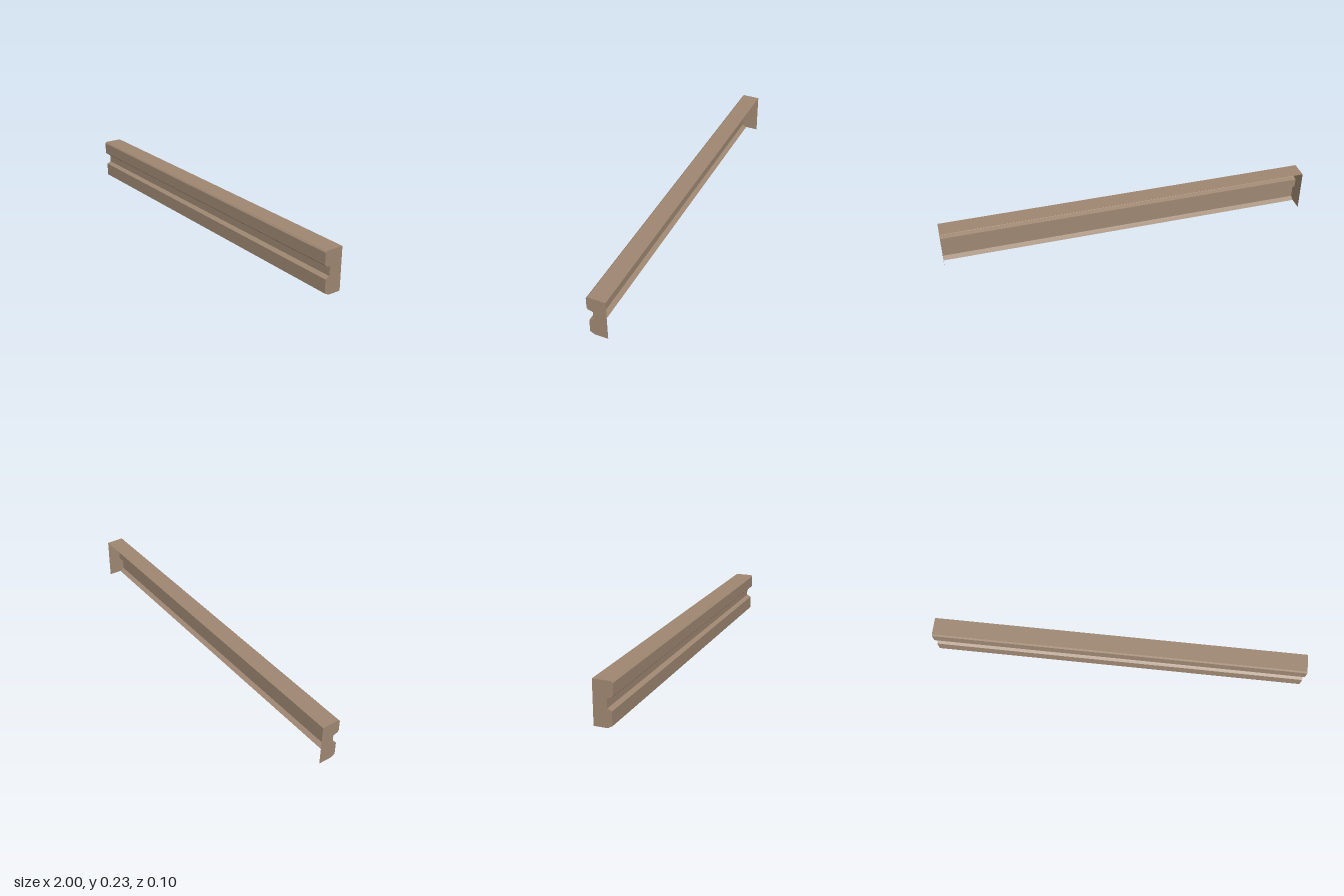
import * as THREE from 'three';

// Cross-section of the folded panel as [z, y], from the top back edge down to the open bottom
const profile = [
  [-0.051, 0.227], [0.044, 0.227], [0.051, 0.219], [0.051, 0.158], [0.045, 0.151],
  [0.02, 0.144], [0.02, 0.095], [0.043, 0.084], [0.043, 0.013], [0.019, 0],
];

// Sweep the open profile along x, one flat strip per segment
function sweep(points, halfLength) {
  const positions = [];
  for (let i = 0; i < points.length - 1; i++) {
    const [az, ay] = points[i];
    const [bz, by] = points[i + 1];
    const h = halfLength;
    positions.push(-h, ay, az, -h, by, bz, h, by, bz);
    positions.push(-h, ay, az, h, by, bz, h, ay, az);
  }
  const geometry = new THREE.BufferGeometry();
  geometry.setAttribute('position', new THREE.Float32BufferAttribute(positions, 3));
  geometry.computeVertexNormals();
  return geometry;
}

// Flat end plate filling the profile, facing outward on the given side
function endPlate(side) {
  const outline = [...profile, [-0.051, 0]].map(([z, y]) => new THREE.Vector2(-side * z, y));
  const geometry = new THREE.ShapeGeometry(new THREE.Shape(outline));
  geometry.rotateY(side * Math.PI / 2);
  geometry.translate(side, 0, 0);
  return geometry;
}

export function createModel() {
  const group = new THREE.Group();
  group.name = 'moulding';
  const material = new THREE.MeshStandardMaterial({ color: 0x9e8772, side: THREE.DoubleSide });
  material.name = 'tan';

  const add = (name, geometry) => {
    const mesh = new THREE.Mesh(geometry, material);
    mesh.name = name;
    group.add(mesh);
  };

  // Grooved panel, open at the back and underneath
  add('groovedPanel', sweep(profile, 1));

  // End plates
  add('leftEndPlate', endPlate(1));
  add('rightEndPlate', endPlate(-1));

  return group;
}
